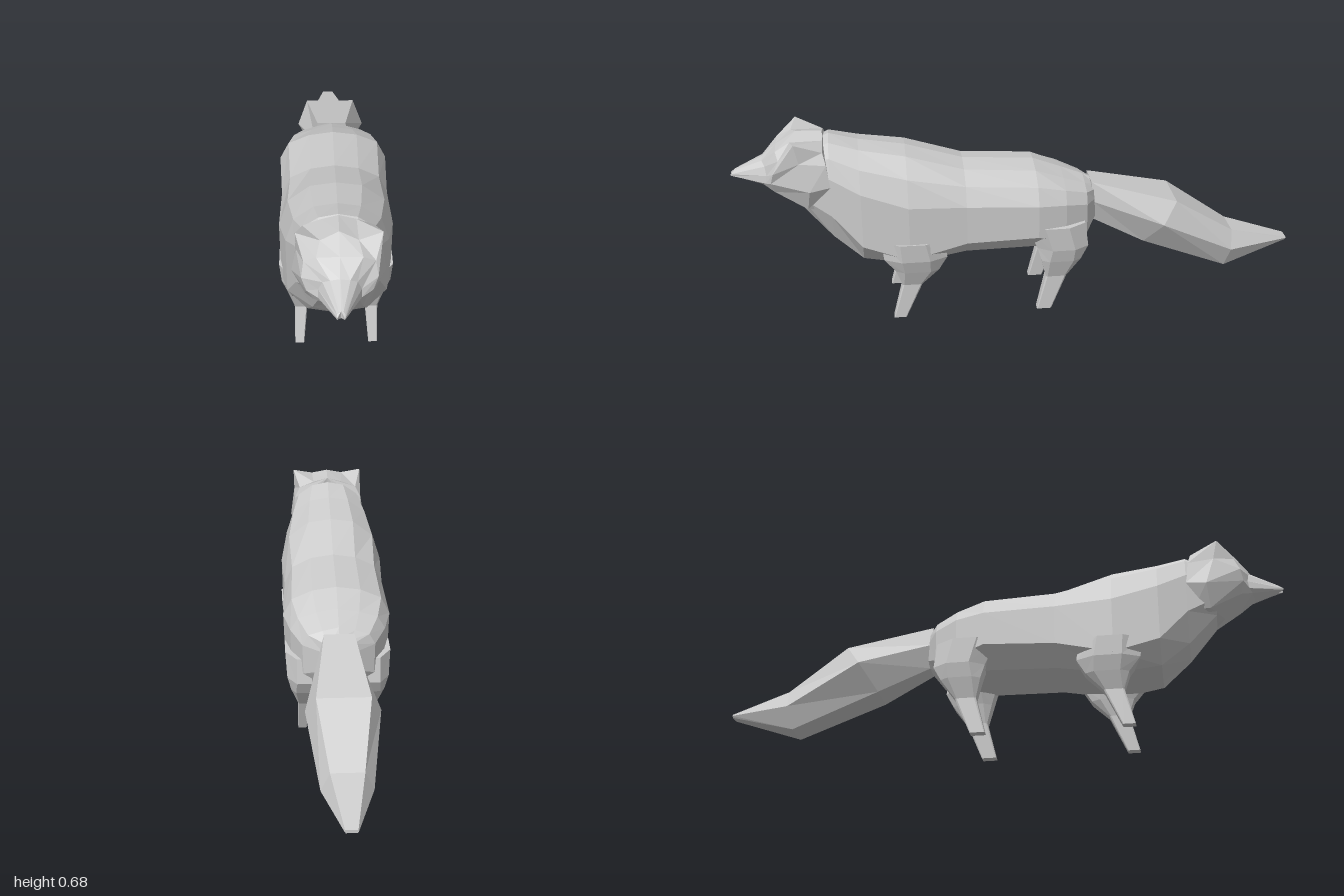
import * as THREE from 'three';

const fur = new THREE.MeshStandardMaterial({ color: 0xcccccc, flatShading: true });
fur.name = 'pale grey fur';

// Skins a list of closed rings (arrays of [x, y, z]) and caps both ends.
function loft(name, rings) {
  const n = rings[0].length;
  const pts = rings.flat();
  const tris = [];
  for (let r = 0; r < rings.length - 1; r++) {
    for (let i = 0; i < n; i++) {
      const a = r * n + i, b = r * n + (i + 1) % n;
      tris.push([a, b, b + n], [a, b + n, a + n]);
    }
  }
  const last = (rings.length - 1) * n;
  for (let i = 1; i < n - 1; i++) {
    tris.push([0, i + 1, i], [last, last + i, last + i + 1]);
  }
  // The sign of the enclosed volume tells whether the skin faces outward.
  const v = pts.map((p) => new THREE.Vector3(...p));
  let volume = 0;
  for (const [a, b, c] of tris) volume += v[a].dot(v[b].clone().cross(v[c]));
  if (volume < 0) tris.forEach((t) => t.reverse());

  const geo = new THREE.BufferGeometry();
  geo.setAttribute('position', new THREE.Float32BufferAttribute(pts.flat(), 3));
  geo.setIndex(tris.flat());
  const flat = geo.toNonIndexed();
  flat.computeVertexNormals();
  const mesh = new THREE.Mesh(flat, fur);
  mesh.name = name;
  return mesh;
}

// Completes a left-side half ring, listed top to bottom, with its mirror image.
function mirror(half) {
  const other = half.filter((p) => p[0] > 0).reverse().map(([x, y, z]) => [-x, y, z]);
  return [...half, ...other];
}

// Body section from its top, half width, side heights and underside.
function bodyRing([z, top, w, hi, lo, bottom]) {
  return mirror([
    [0, top, z],
    [w * 0.45, top - 0.012, z],
    [w * 0.84, top + (hi - top) * 0.42, z],
    [w, hi, z],
    [w * 0.98, lo, z],
    [w * 0.6, bottom + (lo - bottom) * 0.2, z],
    [0, bottom, z],
  ]);
}

// Horizontal leg section: a rectangle with cut corners.
function legRing(side, [y, x0, x1, z0, z1, cut]) {
  const cx = (x1 - x0) * cut, cz = (z1 - z0) * cut;
  return [
    [x0 + cx, z0], [x1 - cx, z0], [x1, z0 + cz], [x1, z1 - cz],
    [x1 - cx, z1], [x0 + cx, z1], [x0, z1 - cz], [x0, z0 + cz],
  ].map(([x, z]) => [side * x, y, z]);
}

export function createModel() {
  const model = new THREE.Group();
  model.name = 'fox';

  // Body: z, top, half width, upper side, lower side, underside
  model.add(loft('body', [
    [0.76, 0.62, 0.10, 0.55, 0.47, 0.41],
    [0.66, 0.667, 0.135, 0.55, 0.41, 0.285],
    [0.56, 0.64, 0.165, 0.50, 0.30, 0.207],
    [0.40, 0.613, 0.188, 0.45, 0.25, 0.19],
    [0.20, 0.552, 0.18, 0.44, 0.30, 0.22],
    [-0.05, 0.535, 0.188, 0.43, 0.31, 0.225],
    [-0.15, 0.497, 0.165, 0.42, 0.28, 0.235],
    [-0.23, 0.465, 0.125, 0.40, 0.29, 0.25],
    [-0.27, 0.445, 0.055, 0.39, 0.32, 0.30],
  ].map(bodyRing)));

  // Head: neck, ear and cheek corners, brow, muzzle root, nose
  model.add(loft('head', [
    [[0, 0.677, 0.68], [0.055, 0.662, 0.68], [0.11, 0.64, 0.68], [0.13, 0.60, 0.67],
      [0.135, 0.52, 0.66], [0.10, 0.43, 0.68], [0, 0.40, 0.70]],
    [[0, 0.68, 0.77], [0.058, 0.662, 0.79], [0.132, 0.68, 0.775], [0.13, 0.61, 0.76],
      [0.145, 0.51, 0.73], [0.105, 0.43, 0.74], [0, 0.435, 0.79]],
    [[0, 0.637, 0.84], [0.07, 0.635, 0.84], [0.108, 0.615, 0.83], [0.115, 0.57, 0.85],
      [0.10, 0.53, 0.86], [0.078, 0.49, 0.85], [0, 0.48, 0.86]],
    [[0, 0.593, 0.89], [0.03, 0.588, 0.89], [0.052, 0.575, 0.88], [0.065, 0.545, 0.875],
      [0.065, 0.517, 0.88], [0.045, 0.507, 0.89], [0, 0.50, 0.90]],
    [[0, 0.549, 0.985], [0.007, 0.548, 0.986], [0.012, 0.542, 0.99], [0.012, 0.535, 1],
      [0.011, 0.529, 1], [0.006, 0.525, 0.99], [0, 0.524, 0.985]],
  ].map(mirror)));

  // Tail: hanging backward, swelling and ending in a narrow tip
  model.add(loft('tail', [
    [[0.052, 0.452, -0.255], [0.062, 0.38, -0.26], [0.035, 0.30, -0.265]],
    [[0.09, 0.376, -0.56], [0.125, 0.30, -0.51], [0.06, 0.21, -0.45]],
    [[0.055, 0.232, -0.78], [0.085, 0.165, -0.775], [0.052, 0.088, -0.76]],
    [[0.02, 0.172, -1], [0.022, 0.167, -1], [0.018, 0.161, -1]],
  ].map(mirror)));

  // Legs: y, inner x, outer x, back z, front z, corner cut
  const legs = {
    FrontLeg: [
      [0, 0.11, 0.141, 0.42, 0.464, 0.06],
      [0.13, 0.098, 0.141, 0.36, 0.43, 0.08],
      [0.19, 0.082, 0.165, 0.30, 0.45, 0.2],
      [0.24, 0.07, 0.183, 0.27, 0.49, 0.28],
      [0.31, 0.06, 0.19, 0.28, 0.50, 0.3],
    ],
    HindLeg: [
      [0, 0.11, 0.141, -0.102, -0.05, 0.06],
      [0.13, 0.098, 0.141, -0.155, -0.082, 0.08],
      [0.20, 0.08, 0.165, -0.205, -0.065, 0.2],
      [0.25, 0.06, 0.178, -0.232, -0.05, 0.28],
      [0.34, 0.05, 0.184, -0.22, -0.01, 0.3],
    ],
  };
  for (const [name, rows] of Object.entries(legs)) {
    for (const [label, side] of [['left', 1], ['right', -1]]) {
      model.add(loft(label + name, rows.map((row) => legRing(side, row))));
    }
  }
  return model;
}
